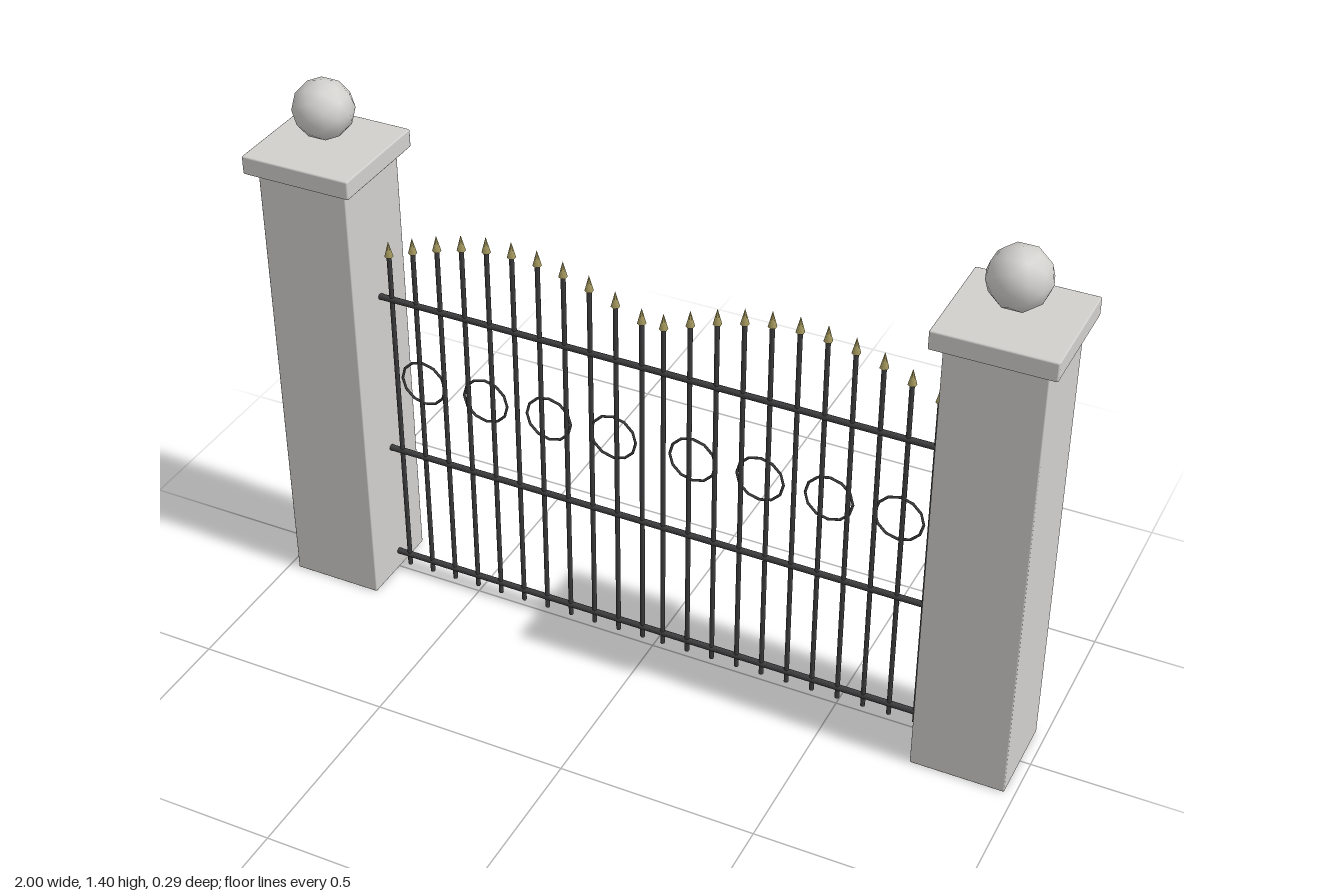
import * as THREE from 'three';
import { RoundedBoxGeometry } from 'three/addons/geometries/RoundedBoxGeometry.js';

export function createModel() {
  const group = new THREE.Group();
  group.name = 'gate';

  const stone = new THREE.MeshStandardMaterial({ name: 'stone', color: 0xd1d0cd });
  const iron = new THREE.MeshStandardMaterial({ name: 'iron', color: 0x3e3d3f });
  const brass = new THREE.MeshStandardMaterial({ name: 'brass', color: 0xa2965c });

  const add = (parent, name, geometry, material, x, y, z = 0) => {
    const mesh = new THREE.Mesh(geometry, material);
    mesh.name = name;
    mesh.position.set(x, y, z);
    parent.add(mesh);
    return mesh;
  };

  // Shared geometries
  const pillarGeo = new RoundedBoxGeometry(0.237, 1.187, 0.237, 1, 0.003);
  const capGeo = new RoundedBoxGeometry(0.288, 0.048, 0.288, 1, 0.004);
  const ballGeo = new THREE.IcosahedronGeometry(0.075, 1);
  const tipGeo = new THREE.ConeGeometry(0.011, 0.042, 6);
  const ringGeo = new THREE.TorusGeometry(0.06, 0.0035, 6, 12);
  const railGeo = new THREE.CylinderGeometry(0.008, 0.008, 1.476, 8).rotateZ(Math.PI / 2);

  // Rails running from pillar to pillar
  for (const y of [0.052, 0.385, 0.838]) add(group, 'rail', railGeo, iron, 0, y);

  for (const side of [-1, 1]) {
    const label = side > 0 ? 'left' : 'right';

    // Stone pillar with cap and ball
    const pillar = new THREE.Group();
    pillar.name = label + 'Pillar';
    pillar.position.x = side * 0.856;
    group.add(pillar);
    add(pillar, 'shaft', pillarGeo, stone, 0, 0.5935);
    add(pillar, 'cap', capGeo, stone, 0, 1.211);
    add(pillar, 'ball', ballGeo, stone, 0, 1.325);

    // Gate leaf: pointed bars whose tops follow an arch
    const leaf = new THREE.Group();
    leaf.name = label + 'Leaf';
    group.add(leaf);
    const bars = 11, bottom = 0.02;
    for (let i = 0; i < bars; i++) {
      const t = i / (bars - 1);
      const x = side * (0.028 + t * 0.676);
      const top = 0.96 + 0.088 * Math.sin(Math.PI * t);
      const barGeo = new THREE.CylinderGeometry(0.006, 0.006, top - bottom, 6);
      add(leaf, 'bar', barGeo, iron, x, (top + bottom) / 2);
      add(leaf, 'spearTip', tipGeo, brass, x, top + 0.021);
    }

    // Row of ornamental rings
    for (let i = 0; i < 4; i++) {
      add(leaf, 'ring', ringGeo, iron, side * (0.105 + i * 0.1745), 0.613);
    }
  }

  return group;
}
